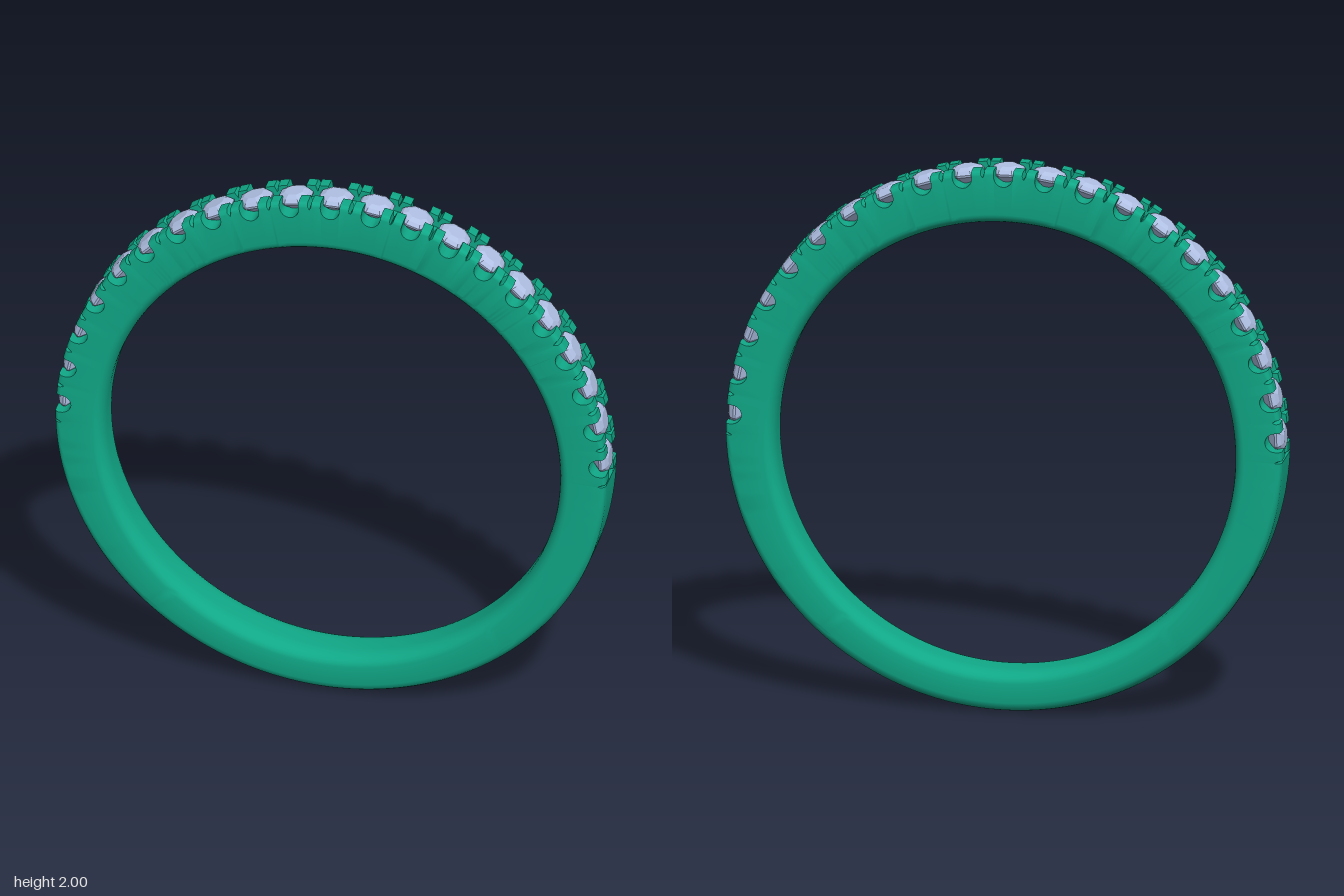
import * as THREE from 'three';
import { toCreasedNormals } from 'three/addons/utils/BufferGeometryUtils.js';

const HALF_WIDTH = 0.095;
const GEMS = 21;
const PITCH = THREE.MathUtils.degToRad(8.7);
const SPAN = (GEMS / 2) * PITCH;      // half angle of the set part, measured from the top
const SCALLOP = 0.035;                // scallop radius, also half width of the gem channel
const NICK = 0.007;                   // half width of the cut between neighbouring prongs

const gemAngle = k => Math.PI / 2 + (k - (GEMS - 1) / 2) * PITCH;

// Outer radius of the prong rails at an angle: scallops at gems, nicks between them
function railRadius(a) {
  const fromTop = a - Math.PI / 2;
  if (Math.abs(fromTop) > SPAN + 1e-6) return 1;
  const t = Math.abs(fromTop - Math.round(fromTop / PITCH) * PITCH);
  if (t < SCALLOP) return 0.977 - Math.sqrt(SCALLOP ** 2 - t ** 2);
  const d = PITCH / 2 - t;
  return d < NICK ? 1 - 0.025 * (1 - d / NICK) : 1;
}

// Closed cross-section at an angle, as [radius, z] pairs
function section(a) {
  const s = Math.sin(a), c = Math.cos(a), low = Math.max(0, -s);
  const inner = -0.025 * s + Math.sqrt(0.825 ** 2 - (0.025 * c) ** 2);
  const rail = railRadius(a);
  const isSet = Math.abs(a - Math.PI / 2) <= SPAN + 1e-6;
  const half = [[inner, 0]];
  // rounded inner edge
  for (let i = 0; i <= 6; i++) {
    const t = (i / 6) * Math.PI / 2;
    half.push([inner + 0.04 * (1 - Math.cos(t)), HALF_WIDTH - 0.065 * (1 - Math.sin(t))]);
  }
  // outer edge, rounder towards the bottom of the band
  const fz = 0.018 + 0.045 * low, fr = 0.018 + 0.022 * low;
  for (let i = 0; i <= 5; i++) {
    const t = (i / 5) * Math.PI / 2;
    half.push([Math.min(rail, 1 - fr * (1 - Math.sin(t))), HALF_WIDTH - fz * (1 - Math.cos(t))]);
  }
  // channel that holds the gems
  const floor = isSet ? Math.min(rail, 0.955) : 1;
  const edge = Math.min(SCALLOP, HALF_WIDTH - fz - 0.005);
  half.push([rail, edge], [floor, edge], [floor, 0]);
  const mirrored = half.slice(1, -1).reverse().map(([r, z]) => [r, -z]);
  return [...half, ...mirrored];
}

function bandGeometry() {
  // angles, denser at the scallops and nicks
  const steps = [0, 0.009, 0.018, 0.026, 0.032, 0.0346, 0.0352, PITCH / 2 - NICK];
  const offsets = [...steps.slice(1).reverse().map(v => -v), ...steps, PITCH / 2];
  const angles = [gemAngle(0) - PITCH / 2];
  for (let k = 0; k < GEMS; k++) for (const o of offsets) angles.push(gemAngle(k) + o);
  const start = Math.PI / 2 + SPAN + 0.001, end = Math.PI * 2.5 - SPAN - 0.001;
  for (let i = 0; i <= 100; i++) angles.push(start + (end - start) * i / 100);

  const pos = [], index = [];
  const n = section(0).length, m = angles.length;
  angles.forEach((a, i) => {
    for (const [r, z] of section(a)) pos.push(r * Math.cos(a), 1 + r * Math.sin(a), z);
    const i2 = (i + 1) % m;
    for (let j = 0; j < n; j++) {
      const j2 = (j + 1) % n;
      const p = i * n + j, q = i * n + j2, u = i2 * n + j, v = i2 * n + j2;
      index.push(p, q, u, q, v, u);
    }
  });
  const g = new THREE.BufferGeometry();
  g.setAttribute('position', new THREE.Float32BufferAttribute(pos, 3));
  g.setIndex(index);
  return toCreasedNormals(g, 0.6);
}

export function createModel() {
  const model = new THREE.Group();
  model.name = 'ring';

  const metal = new THREE.MeshStandardMaterial({ color: 0x10a887 });
  const band = new THREE.Mesh(bandGeometry(), metal);
  band.name = 'band';
  model.add(band);

  // Faceted round gems: pointed pavilion, girdle, crown and flat table
  const stone = new THREE.MeshStandardMaterial({ color: 0xb0c0e4, flatShading: true });
  const profile = [[0, -0.08], [0.064, -0.03], [0.066, -0.022], [0.056, -0.009], [0.036, 0], [0, 0]]
    .map(([x, y]) => new THREE.Vector2(x, y));
  const gemGeometry = new THREE.LatheGeometry(profile, 8, Math.PI / 8);
  const gems = new THREE.Group();
  gems.name = 'gems';
  for (let k = 0; k < GEMS; k++) {
    const a = gemAngle(k);
    const gem = new THREE.Mesh(gemGeometry, stone);
    gem.name = 'gem';
    gem.position.set(Math.cos(a), 1 + Math.sin(a), 0);
    gem.rotation.z = a - Math.PI / 2;
    gems.add(gem);
  }
  model.add(gems);
  return model;
}
